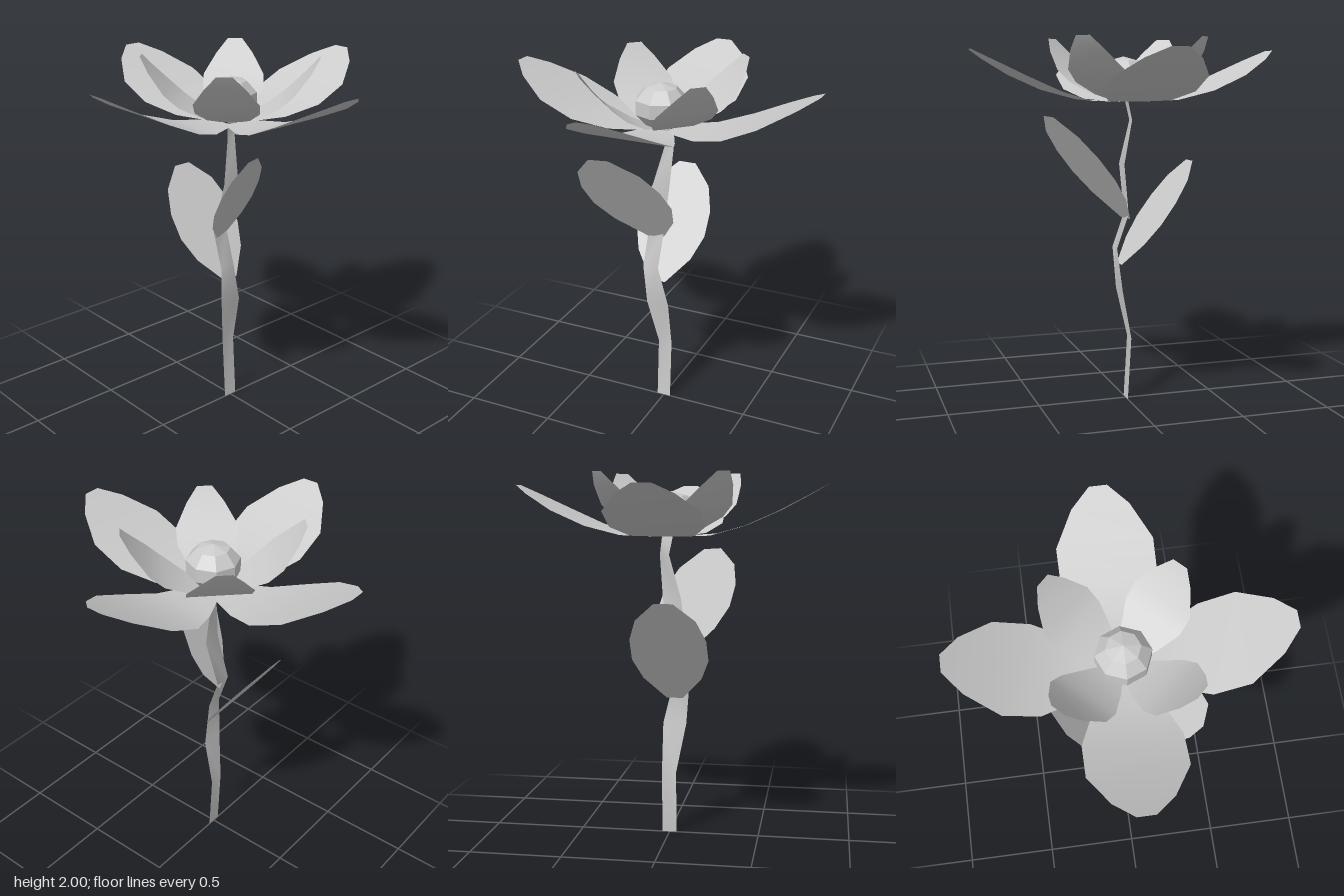
import * as THREE from 'three';

const material = new THREE.MeshStandardMaterial({ color: 0xcccccc, side: THREE.DoubleSide });
const V = (x, y, z) => new THREE.Vector3(x, y, z);

// Thin strip through rows of { centre, half }: half is the half-width vector
function strip(name, rows) {
  const points = [], index = [];
  rows.forEach(({ centre, half }, i) => {
    points.push(centre.clone().sub(half), centre.clone().add(half));
    if (i) {
      const a = 2 * i - 2;
      index.push(a, a + 1, a + 3, a, a + 3, a + 2);
    }
  });
  const geometry = new THREE.BufferGeometry().setFromPoints(points);
  geometry.setIndex(index);
  geometry.computeVertexNormals();
  const mesh = new THREE.Mesh(geometry, material);
  mesh.name = name;
  return mesh;
}

// Petal pointing along +x, from [radius, height, half-width]
const petal = (name, profile) => strip(name, profile.map(([r, y, w]) => (
  { centre: V(r, y, 0), half: V(0, 0, -w) })));

// Leaf with a straight midrib from base to tip, its width lying along side
const LEAF = [[0, 0.045], [0.22, 0.16], [0.42, 0.208], [0.63, 0.205], [0.83, 0.16], [1, 0.05]];
const leaf = (name, base, tip, side) => strip(name, LEAF.map(([t, w]) => (
  { centre: base.clone().lerp(tip, t), half: side.clone().normalize().multiplyScalar(w) })));

const OUTER = [[0.05, 1.66, 0.08], [0.24, 1.67, 0.17], [0.415, 1.72, 0.243],
  [0.595, 1.8, 0.243], [0.755, 1.885, 0.145], [0.842, 1.935, 0.045]];
const INNER = [[0.05, 1.665, 0.05], [0.145, 1.7, 0.11], [0.255, 1.765, 0.163],
  [0.33, 1.83, 0.165], [0.415, 1.93, 0.1], [0.462, 2, 0.04]];

// Stem rows: left x, right x, y, z
const STEM = [[-0.04, 0.04, 0, 0], [-0.04, 0.04, 0.35, -0.02], [-0.09, 0.04, 0.62, 0.03],
  [-0.105, -0.015, 0.85, 0.045], [-0.1, -0.01, 1.04, -0.02], [-0.06, 0.04, 1.32, 0.02],
  [0, 0.05, 1.56, -0.02], [-0.02, 0.04, 1.67, 0]];

export function createModel() {
  const flower = new THREE.Group();
  flower.name = 'flower';

  flower.add(strip('stem', STEM.map(([l, r, y, z]) => (
    { centre: V((l + r) / 2, y, z), half: V((r - l) / 2, 0, 0) }))));

  flower.add(leaf('frontLeaf', V(-0.055, 1.015, -0.015), V(-0.19, 1.575, 0.385), V(0.93, -0.05, -0.33)));
  flower.add(leaf('backLeaf', V(-0.025, 0.765, 0.03), V(-0.025, 1.33, -0.38), V(1, 0, 0)));

  // Two rings of four petals, the inner ring turned by an eighth
  for (let i = 0; i < 4; i++) {
    const outer = petal('outerPetal', OUTER);
    outer.rotation.y = i * Math.PI / 2;
    const inner = petal('innerPetal', INNER);
    inner.rotation.y = (i + 0.5) * Math.PI / 2;
    flower.add(outer, inner);
  }

  // Faceted heart of the flower
  const heartMaterial = new THREE.MeshStandardMaterial({ color: 0xcccccc, flatShading: true });
  const heart = new THREE.Mesh(new THREE.SphereGeometry(0.147, 8, 5), heartMaterial);
  heart.name = 'flowerCentre';
  heart.scale.y = 0.82;
  heart.position.set(-0.01, 1.78, 0.01);
  flower.add(heart);

  return flower;
}
